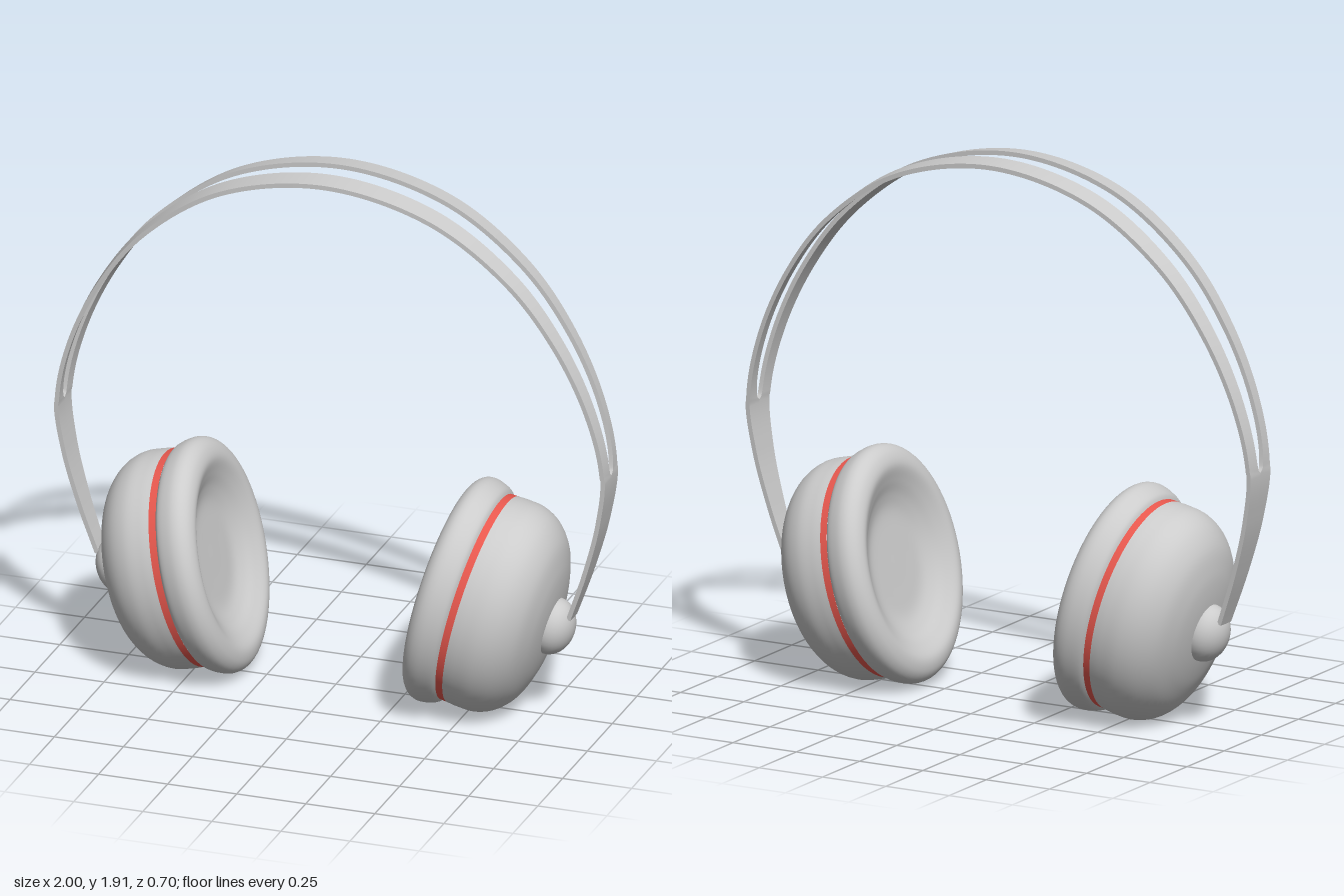
import * as THREE from 'three';

const grey = new THREE.MeshStandardMaterial({ color: 0xcccccc });
const red = new THREE.MeshStandardMaterial({ color: 0xe8584e });

function add(parent, name, geometry, material = grey) {
  const mesh = new THREE.Mesh(geometry, material);
  mesh.name = name;
  parent.add(mesh);
  return mesh;
}

const points = (list) => list.map(([x, y]) => new THREE.Vector2(x, y));
const lathe = (list, samples) =>
  new THREE.LatheGeometry(new THREE.SplineCurve(points(list)).getPoints(samples), 72);

// Profiles as (radius, distance along the cup axis, outward positive)
const padProfile = [[0, -0.078], [0.1, -0.078], [0.18, -0.081], [0.235, -0.098], [0.285, -0.124], [0.335, -0.145],
  [0.378, -0.138], [0.406, -0.115], [0.415, -0.085], [0.408, -0.05], [0.396, -0.025], [0.378, -0.012]];
const shellProfile = [[0.383, 0.012], [0.385, 0.05], [0.381, 0.11], [0.352, 0.17], [0.295, 0.22],
  [0.22, 0.25], [0.15, 0.265], [0.07, 0.273], [0, 0.275]];

function earCup(side) {
  const cup = new THREE.Group();
  cup.name = side > 0 ? 'leftEarCup' : 'rightEarCup';
  add(cup, 'earPad', lathe(padProfile, 60));
  add(cup, 'redRing', new THREE.LatheGeometry(points([[0.382, -0.014], [0.383, 0.012]]), 72), red);
  add(cup, 'shell', lathe(shellProfile, 48));
  const knob = add(cup, 'pivotKnob', new THREE.SphereGeometry(0.103, 32, 20));
  knob.scale.set(1, 0.78, 1.04);
  knob.position.y = 0.27;
  // Oval cup, its axis pointing outward and tilted slightly down
  cup.scale.z = 0.845;
  cup.rotation.z = -side * (Math.PI / 2 + 0.238);
  cup.position.set(side * 0.52, 0.4, 0);
  return cup;
}

// Half of the headband's centre line, from the ear cup to just before the top
const half = [[0.853, 0.38], [0.915, 0.56], [0.968, 0.76], [0.989, 0.95], [0.942, 1.17], [0.83, 1.41],
  [0.66, 1.63], [0.38, 1.825]];
const bandPath = new THREE.CatmullRomCurve3([
  ...half.map(([x, y]) => new THREE.Vector3(-x, y, 0)),
  new THREE.Vector3(0, 1.905, 0),
  ...half.slice().reverse().map(([x, y]) => new THREE.Vector3(x, y, 0)),
]);
bandPath.arcLengthDivisions = 800;

// The band widens with height and splits in two above the slot's lower end
const outerZ = (y) => 0.035 + 0.059 * (y - 0.38);
const slotZ = (y) => 0.045 * Math.pow(Math.max(0, (y - 0.93) / 0.97), 0.24);

function bandStrip(side) {
  const geometry = new THREE.BoxGeometry(1, 1, 1, 400, 1, 1);
  const pos = geometry.attributes.position;
  for (let i = 0; i < pos.count; i++) {
    const t = THREE.MathUtils.clamp(pos.getX(i) + 0.5, 0, 1);
    const p = bandPath.getPointAt(t);
    const d = bandPath.getTangentAt(t);
    const w = side * pos.getZ(i) + 0.5;
    // Each strip leans slightly so its outer edge sits lower
    const offset = pos.getY(i) * 0.016 - 0.2 * w * slotZ(p.y);
    const z = side * THREE.MathUtils.lerp(slotZ(p.y), outerZ(p.y), w);
    pos.setXYZ(i, p.x - d.y * offset, p.y + d.x * offset, z);
  }
  geometry.computeVertexNormals();
  return geometry;
}

export function createModel() {
  const model = new THREE.Group();
  model.name = 'headphones';
  for (const side of [1, -1]) {
    model.add(earCup(side));
    add(model, side > 0 ? 'frontBandStrip' : 'backBandStrip', bandStrip(side));
  }
  return model;
}
